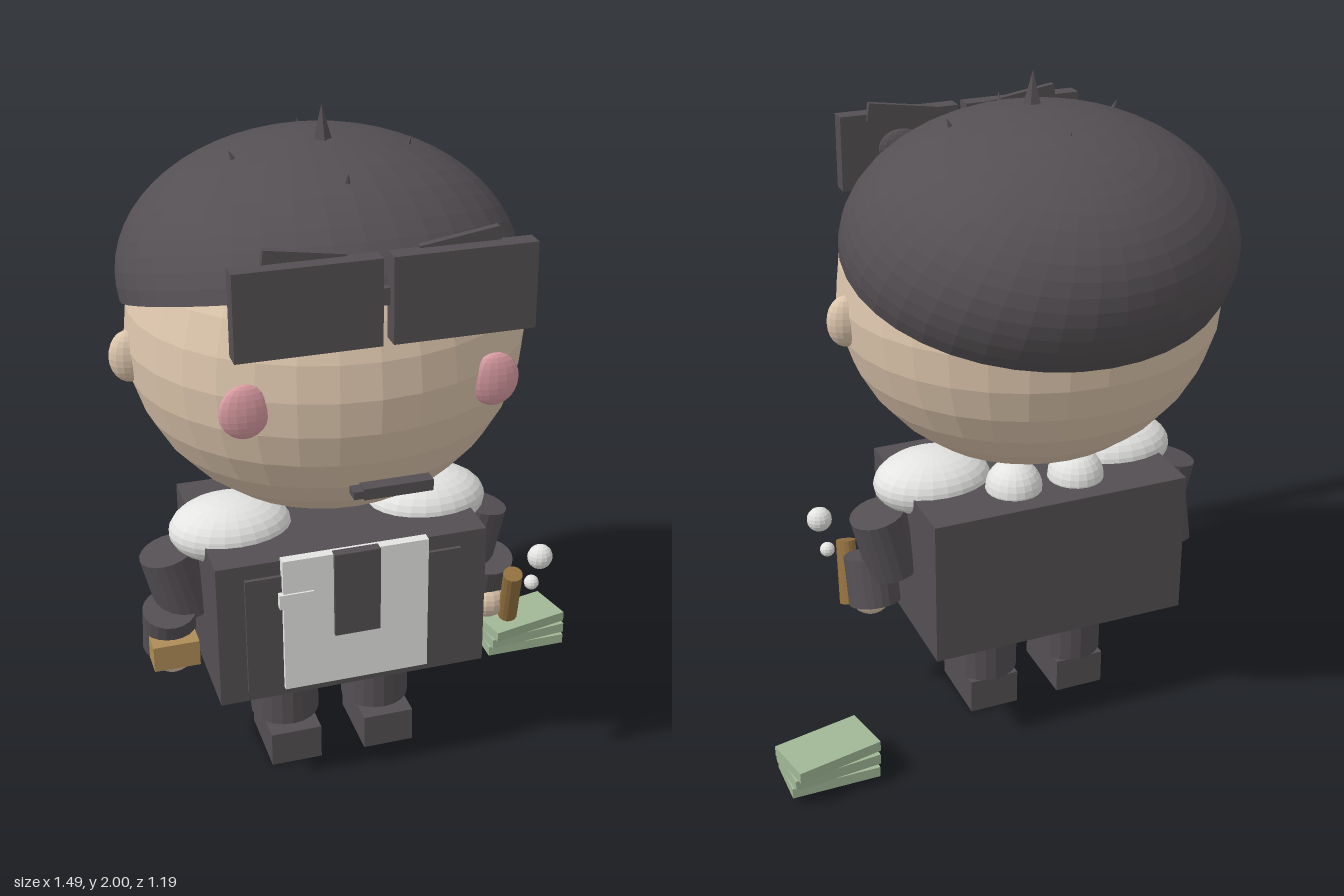
import * as THREE from 'three';

const mat = (name, color, extra = {}) => {
  const m = new THREE.MeshStandardMaterial({ color, flatShading: true, ...extra });
  m.name = name;
  return m;
};

export function createModel() {
  const dark = mat('charcoal', 0x544f53);
  const hairMat = mat('charcoal hair', 0x544f53, { side: THREE.DoubleSide });
  const skin = mat('skin', 0xdcc5ac);
  const pink = mat('blush', 0xd99ca2);
  const white = mat('white', 0xe4e4e2);
  const green = mat('note green', 0xa0b896);
  const gold = mat('gold', 0xae8c58);
  const brown = mat('cigar brown', 0x92703f);

  const model = new THREE.Group();
  model.name = 'figure';
  const figure = new THREE.Group(); // figure stands left of the note stack
  figure.name = 'body';
  figure.position.x = -0.14;
  model.add(figure);

  const add = (name, geo, material, pos, rot = [0, 0, 0], parent = figure) => {
    const m = new THREE.Mesh(geo, material);
    m.name = name;
    m.position.set(...pos);
    m.rotation.set(...rot);
    parent.add(m);
    return m;
  };
  const box = (name, size, material, pos, rot, parent) =>
    add(name, new THREE.BoxGeometry(...size), material, pos, rot, parent);
  const ball = (name, radii, material, pos, w = 20, h = 14) =>
    add(name, new THREE.SphereGeometry(1, w, h).scale(...radii), material, pos);

  // Head
  ball('head', [0.56, 0.515, 0.53], skin, [0, 1.375, 0.02], 32, 16);

  // Hair cap: a tilted dome squashed to the head
  const cap = new THREE.SphereGeometry(1, 40, 16, 0, Math.PI * 2, 0, Math.PI * 0.537);
  cap.rotateX(-0.418).scale(0.563, 0.38, 0.555);
  add('hair', cap, hairMat, [0, 1.53, -0.04]);

  // Hair spikes: one tall, four small ones leaning outward
  add('centreSpike', new THREE.ConeGeometry(0.036, 0.13, 5), dark, [0, 1.935, 0.015]);
  for (let i = 0; i < 4; i++) {
    const a = i * Math.PI / 2;
    const dx = Math.cos(a), dz = Math.sin(a);
    const y = i === 1 ? 1.845 : 1.86;
    add('smallSpike', new THREE.ConeGeometry(0.021, 0.075, 5), dark,
      [dx * 0.24, y, 0.01 + dz * 0.235], [dz * 0.4, 0, -dx * 0.4]);
  }

  // Mirrored parts
  for (const s of [-1, 1]) {
    ball('ear', [0.055, 0.075, 0.04], skin, [s * 0.555, 1.35, 0.02], 16, 12);
    ball('cheek', [0.068, 0.075, 0.025], pink, [s * 0.338, 1.35, 0.46], 16, 12);

    // Glasses, eyes and brows
    box('lens', [0.375, 0.228, 0.052], dark, [s * 0.201, 1.657, 0.568]);
    ball('eye', [0.075, 0.06, 0.03], dark, [s * 0.2, 1.66, 0.55], 16, 12);
    box('brow', [0.21, 0.055, 0.02], dark, [s * 0.2, 1.764, 0.542], [0, 0, s * 0.15]);

    // Fur collar
    ball('shoulderFur', [0.18, 0.095, 0.14], white, [s * 0.3, 0.79, 0.045], 24, 16);
    ball('backFur', [0.085, 0.085, 0.085], white, [s * 0.1, 0.8, -0.107], 20, 14);

    // Arms
    add('upperArm', new THREE.CylinderGeometry(0.085, 0.085, 0.2, 20), dark,
      [s * 0.46, 0.628, 0.02], [0, 0, -s * 0.24]);
    add('forearm', new THREE.CylinderGeometry(0.078, 0.078, 0.15, 20), dark,
      [s * 0.497, 0.487, 0.05], [0.28, 0, 0]);
    ball('hand', [0.066, 0.066, 0.066], skin, [s * 0.497, 0.42, 0.075], 16, 12);

    // Legs
    add('leg', new THREE.CylinderGeometry(0.105, 0.105, 0.235, 20), dark,
      [s * 0.146, 0.2275, 0.02]);
    box('foot', [0.156, 0.11, 0.24], dark, [s * 0.147, 0.055, 0.045]);
  }
  box('glassesBridge', [0.04, 0.045, 0.02], dark, [0, 1.66, 0.555]);

  // Mouth with a small stub at one end
  box('mouth', [0.19, 0.032, 0.04], dark, [0.04, 1.12, 0.545]);
  box('mouthEnd', [0.03, 0.022, 0.04], dark, [-0.067, 1.12, 0.545]);

  // Torso, jacket panel, shirt and tie
  box('torso', [0.8, 0.45, 0.535], dark, [0, 0.57, 0.022]);
  box('jacketPanel', [0.64, 0.37, 0.02], dark, [0, 0.565, 0.291]);
  box('shirt', [0.43, 0.425, 0.03], white, [0, 0.593, 0.302]);
  box('shirtPocket', [0.1, 0.045, 0.02], white, [-0.177, 0.678, 0.313]);
  box('tie', [0.135, 0.265, 0.03], dark, [0, 0.675, 0.314]);

  // Gold bar held in the right hand
  box('goldBar', [0.135, 0.08, 0.08], gold, [-0.497, 0.45, 0.12]);

  // Cigar in the left hand, with smoke
  const low = new THREE.Vector3(0.55, 0.37, 0.12);
  const high = new THREE.Vector3(0.535, 0.555, 0.185);
  const axis = high.clone().sub(low);
  const cigar = add('cigar', new THREE.CylinderGeometry(0.03, 0.03, axis.length(), 14), brown,
    low.clone().add(high).multiplyScalar(0.5).toArray());
  cigar.quaternion.setFromUnitVectors(new THREE.Vector3(0, 1, 0), axis.normalize());
  ball('smokePuff', [0.039, 0.039, 0.035], white, [0.605, 0.624, 0.22], 14, 10);
  ball('smallSmokePuff', [0.023, 0.023, 0.023], white, [0.59, 0.525, 0.2], 12, 8);

  // Stack of notes, each twisted a little more
  [0, 0.1, 0.21].forEach((turn, i) =>
    box('noteBundle', [0.267, 0.033, 0.155], green, [0.598, 0.046 + i * 0.034, -0.225],
      [0, turn, 0], model));

  return model;
}
